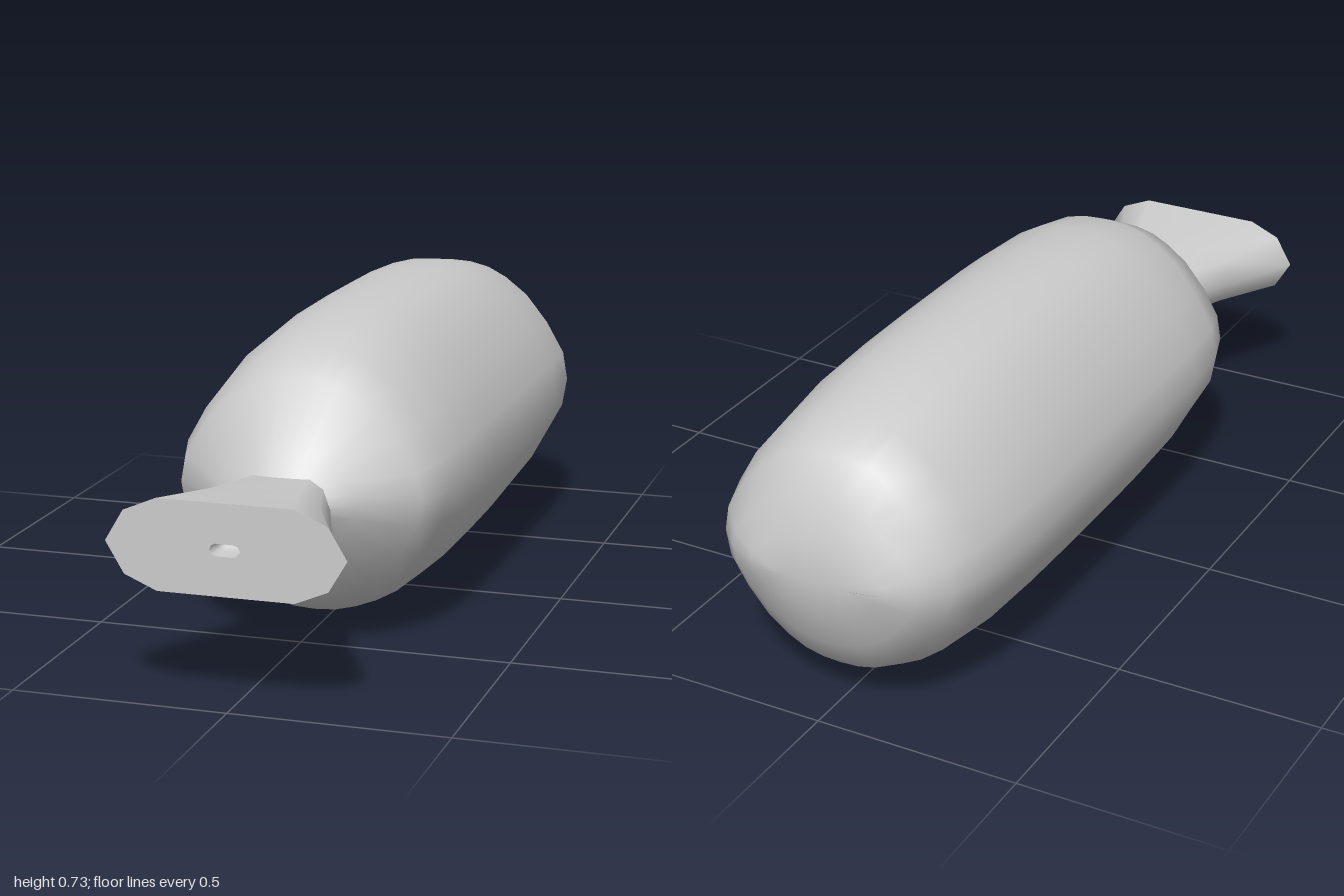
import * as THREE from 'three';
import { mergeVertices } from 'three/addons/utils/BufferGeometryUtils.js';

const material = new THREE.MeshStandardMaterial({ color: 0xcccccc });
const CENTRE_Y = 0.365;

// Mirrors a quarter outline (from the +x axis towards +y) into a full loop
function fullSection(quarter, hasTopPoint) {
  const half = [...quarter];
  const back = quarter.map(([x, y]) => [-x, y]).reverse();
  half.push(...(hasTopPoint ? back.slice(1) : back));
  const lower = half.slice(1, -1).map(([x, y]) => [x, -y]).reverse();
  return [...half, ...lower];
}

// Skins rings [z, halfWidth, halfHeight] that share one unit section
function loft(section, rings) {
  const n = section.length;
  const positions = [];
  const index = [];
  for (const [z, w, h] of rings) {
    for (const [x, y] of section) positions.push(x * w, CENTRE_Y + y * h, z);
  }
  for (let i = 0; i < rings.length - 1; i++) {
    for (let j = 0; j < n; j++) {
      const a = i * n + j;
      const b = i * n + ((j + 1) % n);
      index.push(a, b, b + n, a, b + n, a + n);
    }
  }
  let geometry = new THREE.BufferGeometry();
  geometry.setAttribute('position', new THREE.Float32BufferAttribute(positions, 3));
  geometry.setIndex(index);
  geometry = mergeVertices(geometry, 1e-5);
  geometry.computeVertexNormals();
  return geometry;
}

export function createModel() {
  const model = new THREE.Group();
  const add = (name, geometry) => {
    const mesh = new THREE.Mesh(geometry, material);
    mesh.name = name;
    model.add(mesh);
  };

  const roundSection = fullSection([
    [1, 0], [0.962, 0.234], [0.818, 0.496], [0.641, 0.725],
    [0.465, 0.868], [0.315, 0.95], [0.16, 0.99], [0, 1],
  ], true);
  const tenSided = fullSection([[1, 0], [0.845, 0.69], [0.57, 1]], false);

  // Plump body: closes to a short ridge at the back, funnels into the neck
  add('body', loft(roundSection, [
    [-1, 0.1, 0], [-0.985, 0.17, 0.085], [-0.955, 0.235, 0.18], [-0.9, 0.29, 0.265],
    [-0.8, 0.325, 0.311], [-0.6, 0.34, 0.347], [-0.4, 0.341, 0.36], [-0.2, 0.341, 0.363],
    [0.05, 0.341, 0.361], [0.25, 0.337, 0.345], [0.4, 0.322, 0.313], [0.5, 0.29, 0.265],
    [0.6, 0.165, 0.12], [0.64, 0.11, 0.06],
  ]));

  // Flared neck
  add('neck', loft(tenSided, [
    [0.62, 0.113, 0.064], [0.64, 0.118, 0.066], [0.81, 0.177, 0.08], [1, 0.272, 0.103],
  ]));

  // Flat end face around the small slot
  add('endFace', loft(tenSided, [[1, 0.272, 0.103], [1, 0.035, 0.014]]));

  // Shallow slot with a closed bottom
  add('slot', loft(tenSided, [
    [1, 0.035, 0.014], [0.96, 0.033, 0.013], [0.945, 0.022, 0.007], [0.943, 0, 0],
  ]));

  return model;
}
